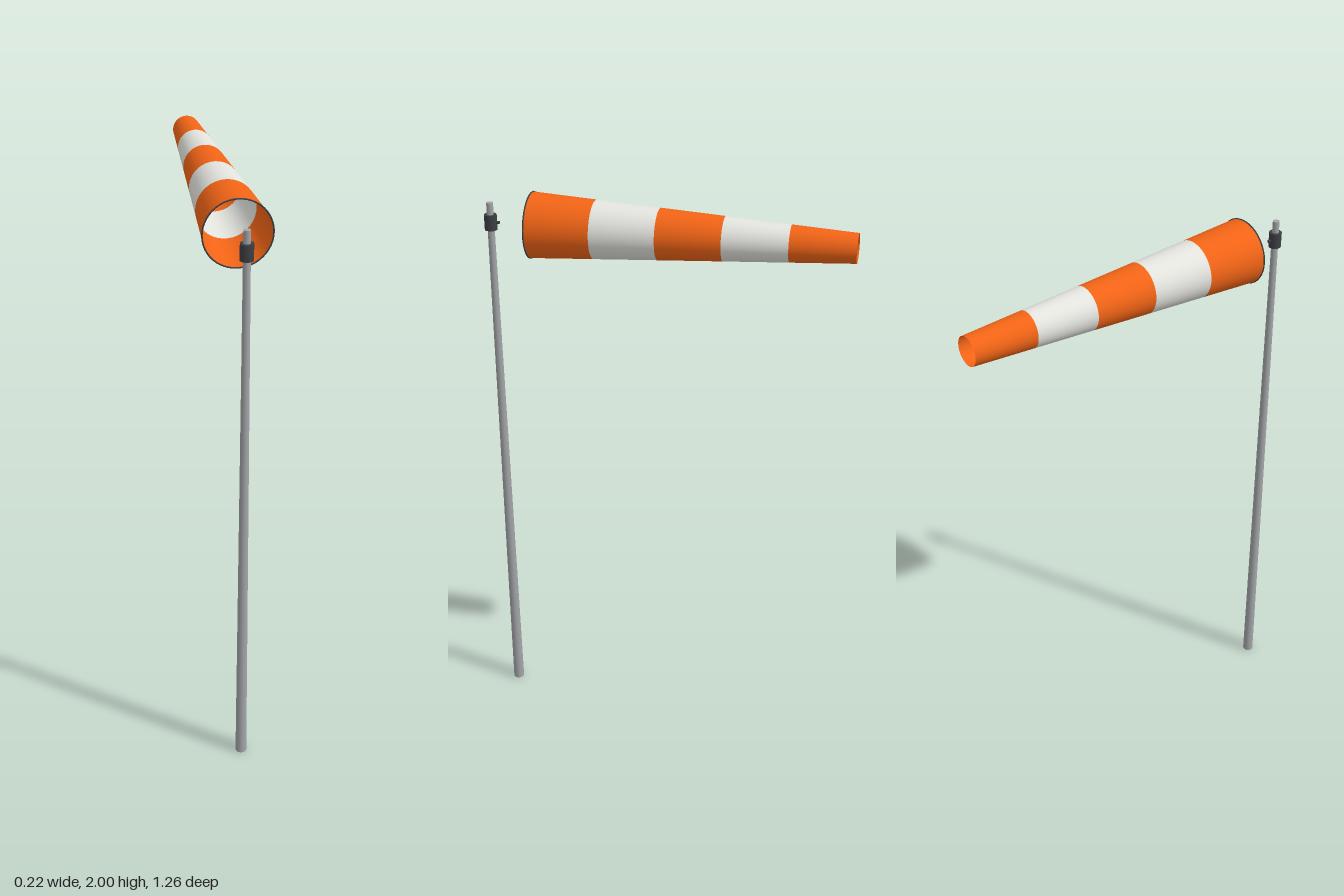
import * as THREE from 'three';

const POLE_Z = 0.607, AXIS_Y = 1.8875;
const SOCK_FRONT = 0.46, SOCK_BACK = -0.628, R_FRONT = 0.11, R_BACK = 0.049;

export function createModel() {
  const group = new THREE.Group();
  const paint = (color, side = THREE.FrontSide) => new THREE.MeshStandardMaterial({ color, side });
  const steel = paint(0xa3a5a8), dark = paint(0x3c3f44);
  const orange = paint(0xf26416, THREE.DoubleSide), white = paint(0xe4e4df, THREE.DoubleSide);

  const add = (name, geometry, material, y, z) => {
    const mesh = new THREE.Mesh(geometry, material);
    mesh.name = name;
    mesh.position.set(0, y, z);
    group.add(mesh);
    return mesh;
  };

  // Tapered mast with a swivel collar near its tip
  add('mast', new THREE.CylinderGeometry(0.0115, 0.0195, 1.955, 16), steel, 1.955 / 2, POLE_Z);
  add('swivelCollar', new THREE.CylinderGeometry(0.0215, 0.0215, 0.053, 16), dark, AXIS_Y, POLE_Z);

  // Short peg pointing from the collar toward the sock
  add('swivelPeg', new THREE.CylinderGeometry(0.005, 0.005, 0.03, 10).rotateX(Math.PI / 2),
    dark, AXIS_Y, POLE_Z - 0.016);

  // Hoop holding the mouth of the sock open
  add('mouthHoop', new THREE.TorusGeometry(R_FRONT, 0.0025, 8, 48), dark, AXIS_Y, SOCK_FRONT);

  // Open tapering sock in five equal bands
  const bands = 5, length = (SOCK_FRONT - SOCK_BACK) / bands;
  const radius = (i) => THREE.MathUtils.lerp(R_FRONT, R_BACK, i / bands);
  for (let i = 0; i < bands; i++) {
    const geometry = new THREE.CylinderGeometry(radius(i), radius(i + 1), length, 48, 1, true);
    geometry.rotateX(Math.PI / 2);
    add(`sockBand${i + 1}`, geometry, i % 2 ? white : orange, AXIS_Y, SOCK_FRONT - (i + 0.5) * length);
  }
  return group;
}
